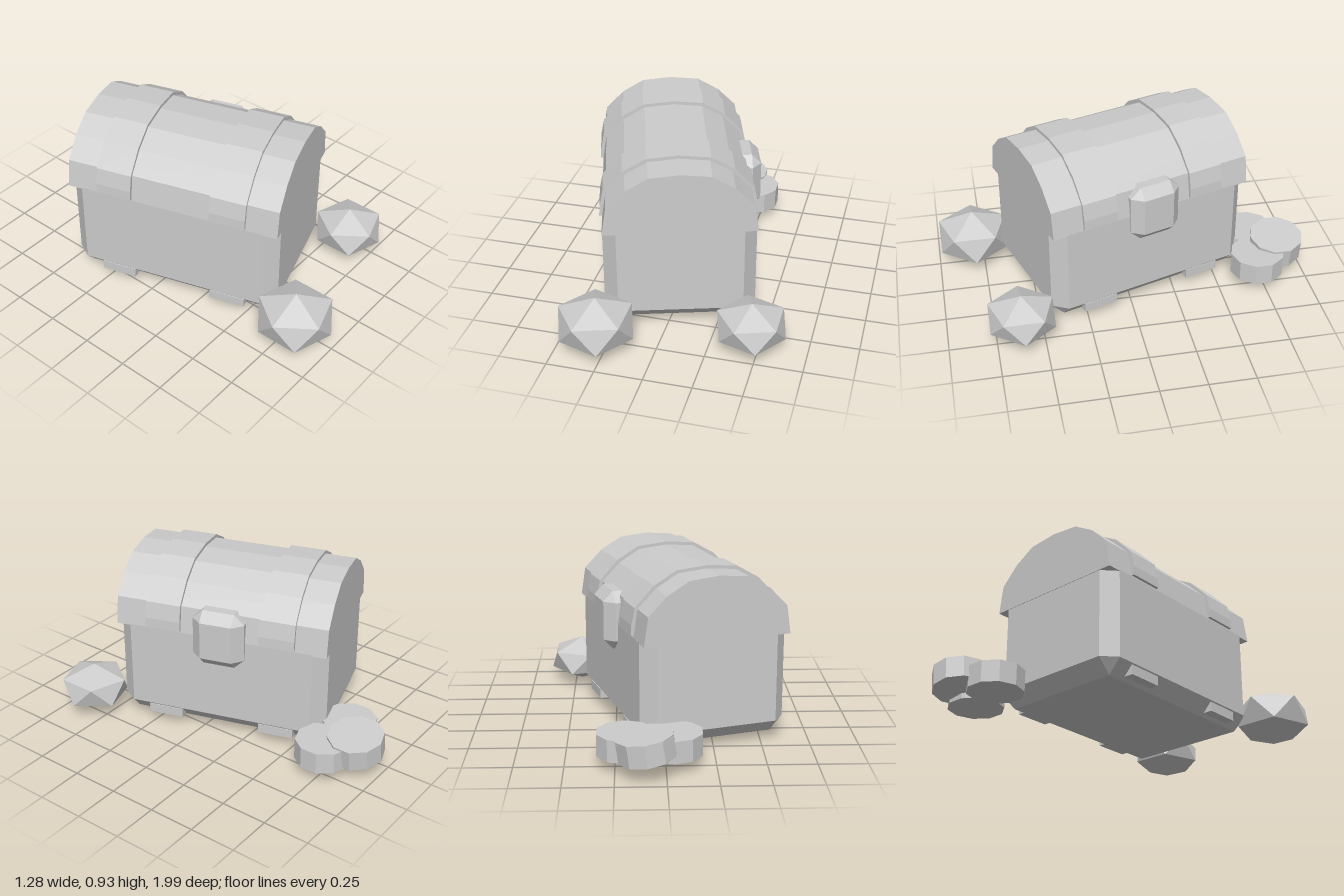
import * as THREE from 'three';
import { ConvexGeometry } from 'three/addons/geometries/ConvexGeometry.js';

const material = new THREE.MeshStandardMaterial({ color: 0xcccccc, flatShading: true });
material.name = 'light grey';

function part(name, geometry, parent) {
  const mesh = new THREE.Mesh(geometry, material);
  mesh.name = name;
  parent.add(mesh);
  return mesh;
}

// Box with every edge cut off by bevel sizes (bx, by, bz); the top may stay square
function bevelledBox(w, h, d, bx, by, bz, flatTop = false) {
  const points = [];
  for (const sx of [-1, 1]) for (const sy of [-1, 1]) for (const sz of [-1, 1]) {
    const x = w / 2, y = h / 2, z = d / 2;
    const cut = flatTop && sy > 0 ? 0 : by;
    points.push(new THREE.Vector3(sx * x, sy * (y - cut), sz * (z - bz)));
    points.push(new THREE.Vector3(sx * (x - bx), sy * (y - cut), sz * z));
    if (cut) points.push(new THREE.Vector3(sx * (x - bx), sy * y, sz * (z - bz)));
  }
  return new ConvexGeometry(points);
}

// Mirrors half an arch profile and extrudes it along z, centred
function arch(half, length) {
  const left = half.filter(([x]) => x > 0).map(([x, y]) => [-x, y]).reverse();
  const shape = new THREE.Shape([...half, ...left].map(([x, y]) => new THREE.Vector2(x, y)));
  return new THREE.ExtrudeGeometry(shape, { depth: length, bevelEnabled: false })
    .translate(0, 0, -length / 2);
}

// Squashed icosahedron standing on one tip
function gem(radius, height) {
  const points = [new THREE.Vector3(0, height / 2, 0), new THREE.Vector3(0, -height / 2, 0)];
  for (let i = 0; i < 10; i++) {
    const a = (i * Math.PI) / 5;
    const y = (i % 2 ? 1 : -1) * height * 0.2236;
    points.push(new THREE.Vector3(radius * Math.cos(a), y, radius * Math.sin(a)));
  }
  return new ConvexGeometry(points);
}

export function createModel() {
  const model = new THREE.Group();
  model.name = 'treasureChest';

  // Chest, turned on the ground; its lock side is local +x
  const chest = new THREE.Group();
  chest.name = 'chest';
  chest.position.x = -0.095;
  chest.rotation.y = 0.305;
  model.add(chest);

  part('body', bevelledBox(0.78, 0.545, 1.14, 0.068, 0.075, 0.072, true), chest)
    .position.y = 0.3175;

  // Rounded lid
  part('lid', arch([[0.39, 0.583], [0.367, 0.733], [0.27, 0.83], [0.156, 0.897], [0, 0.912]], 1.146), chest);

  // Straps over the lid, with their ends showing under the body
  const strap = [[0.403, 0.597], [0.4, 0.65], [0.382, 0.738], [0.282, 0.845], [0.162, 0.914], [0, 0.929]];
  for (const side of [-1, 1]) {
    part('lidStrap', arch(strap, 0.19), chest).position.z = side * 0.31;
    for (const face of [-1, 1]) {
      part('strapEnd', new THREE.BoxGeometry(0.08, 0.05, 0.19), chest)
        .position.set(face * 0.348, 0.087, side * 0.31);
    }
  }

  // Lock
  part('lock', bevelledBox(0.16, 0.31, 0.28, 0.05, 0.052, 0.055), chest)
    .position.set(0.371, 0.596, 0);

  // Gems beside the chest
  part('largeGem', gem(0.195, 0.298), model).position.set(-0.3, 0.153, 0.8);
  part('smallGem', gem(0.178, 0.255), model).position.set(0.46, 0.142, 0.613);

  // Coins behind the chest, the last one leaning
  const coins = [[-0.04, 0.122, -0.73, 0], [0.2, 0.122, -0.725, 0], [0.1, 0.153, -0.858, -0.14]];
  for (const [x, y, z, tilt] of coins) {
    const coin = part('coin', new THREE.CylinderGeometry(0.147, 0.147, 0.115, 10), model);
    coin.position.set(x, y, z);
    coin.rotation.z = tilt;
  }
  return model;
}
